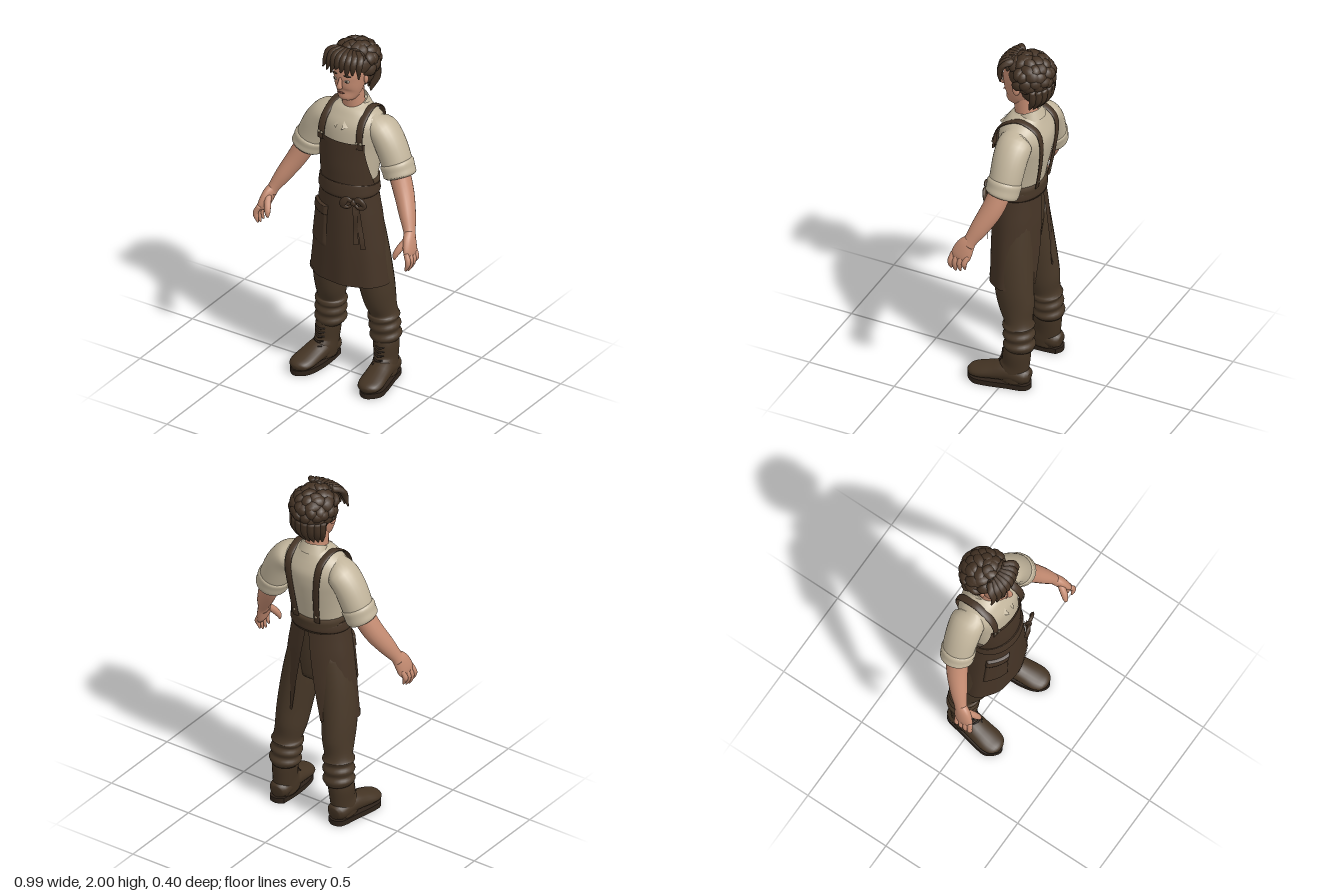
import * as THREE from 'three';

const mat = (name, color, side = THREE.FrontSide) => {
  const m = new THREE.MeshStandardMaterial({ color, side });
  m.name = name;
  return m;
};

// rows of [y, centre z, half width, half depth]
const TORSO = [[1.12, 0.005, 0.15, 0.115], [1.2, 0.0, 0.152, 0.12], [1.3, -0.01, 0.163, 0.13], [1.4, -0.024, 0.178, 0.137],
  [1.47, -0.032, 0.192, 0.14], [1.53, -0.037, 0.193, 0.134], [1.58, -0.042, 0.165, 0.11], [1.62, -0.046, 0.105, 0.085], [1.645, -0.046, 0.06, 0.06]];
const SKIRT = [[0.61, 0, 0.233, 0.143], [0.8, 0, 0.213, 0.145], [1.0, 0.004, 0.187, 0.14], [1.1, 0.008, 0.17, 0.135], [1.19, 0.01, 0.158, 0.13]];

const rowAt = (rows, y) => {
  let i = 0;
  while (i < rows.length - 2 && y > rows[i + 1][0]) i++;
  const t = (y - rows[i][0]) / (rows[i + 1][0] - rows[i][0]);
  return rows[i].map((a, k) => a + (rows[i + 1][k] - a) * t);
};
// point on a body profile at an angle from the front
const around = (rows, a, y, off = 0) => {
  const [, zc, rx, rz] = rowAt(rows, y);
  return [(rx + off) * Math.sin(a), y, zc + (rz + off) * Math.cos(a)];
};

const fromGrid = (pos, idx) => {
  const g = new THREE.BufferGeometry();
  g.setAttribute('position', new THREE.Float32BufferAttribute(pos, 3));
  g.setIndex(idx);
  g.computeVertexNormals();
  return g;
};

// closed smooth limb through points [x, y, z, radius along ref, other radius]
function limb(pts, seg = 20, ref = new THREE.Vector3(1, 0, 0), sub = 4) {
  const V = (a, b, c) => new THREE.Vector3(a, b, c);
  const path = new THREE.CatmullRomCurve3(pts.map(p => V(p[0], p[1], p[2])), false, 'catmullrom');
  const size = new THREE.CatmullRomCurve3(pts.map(p => V(p[3], p[4] ?? p[3], 0)), false, 'catmullrom');
  const n = (pts.length - 1) * sub, pos = [], idx = [];
  for (let i = 0; i <= n; i++) {
    const c = path.getPoint(i / n), r = size.getPoint(i / n), t = path.getTangent(i / n);
    const u = ref.clone().addScaledVector(t, -ref.dot(t)).normalize();
    const v = t.clone().cross(u);
    for (let j = 0; j < seg; j++) {
      const a = j / seg * Math.PI * 2;
      pos.push(...c.clone().addScaledVector(u, r.x * Math.cos(a)).addScaledVector(v, r.y * Math.sin(a)).toArray());
    }
  }
  pos.push(...path.getPoint(0).toArray(), ...path.getPoint(1).toArray());
  const s = (n + 1) * seg;
  for (let j = 0; j < seg; j++) {
    const k = (j + 1) % seg;
    for (let i = 0; i < n; i++) {
      const a = i * seg + j, b = i * seg + k;
      idx.push(a, b, b + seg, a, b + seg, a + seg);
    }
    idx.push(s, k, j, s + 1, n * seg + j, n * seg + k);
  }
  return fromGrid(pos, idx);
}

// open cloth surface from a rule f(u, v) -> [x, y, z]
function sheet(f, nu = 24, nv = 12) {
  const pos = [], idx = [];
  for (let j = 0; j <= nv; j++) for (let i = 0; i <= nu; i++) pos.push(...f(i / nu, j / nv));
  for (let j = 0; j < nv; j++) for (let i = 0; i < nu; i++) {
    const a = j * (nu + 1) + i, b = a + nu + 1;
    idx.push(a, b, b + 1, a, b + 1, a + 1);
  }
  return fromGrid(pos, idx);
}

export function createModel() {
  const root = new THREE.Group();
  root.name = 'apronedMan';
  const skin = mat('skin', 0xc58c72), shirt = mat('shirtCloth', 0xc2b59c, THREE.DoubleSide);
  const apron = mat('apronCloth', 0x453426, THREE.DoubleSide), trouser = mat('trouserCloth', 0x483828);
  const leather = mat('bootLeather', 0x443424), dark = mat('soleAndTrim', 0x2e231a);
  const hair = mat('hair', 0x443325), metal = mat('metal', 0xa3957c), white = mat('eyeWhite', 0xd8cbb8), lip = mat('lip', 0x9c5f50);
  const add = (name, geo, m, parent = root) => {
    const o = new THREE.Mesh(geo, m);
    o.name = name;
    parent.add(o);
    return o;
  };
  const blob = (name, m, x, y, z, sx, sy, sz, ry = 0) => {
    const o = add(name, new THREE.SphereGeometry(1, 20, 14), m);
    o.position.set(x, y, z);
    o.scale.set(sx, sy, sz);
    o.rotation.y = ry;
    return o;
  };
  const Z = new THREE.Vector3(0, 0, 1);

  // shirt body, collar and open neck
  add('shirtBody', limb(TORSO.map(([y, z, rx, rz]) => [0, y, z, rx, rz]), 36), shirt);
  add('collar', sheet((u, v) => {
    const a = 0.2 + u * (Math.PI * 2 - 0.4), c = Math.cos(a), drop = ((1 + c) / 2) ** 2, r = 0.066 + 0.025 * v;
    return [r * Math.sin(a), 1.672 - 0.09 * drop - v * 0.05, -0.045 + (r + (0.05 + 0.025 * v) * drop) * c];
  }, 36, 4), shirt);
  add('neckOpening', sheet((u, v) => [(0.5 - u) * 2 * (0.004 + 0.036 * (1 - v)), 1.615 - 0.08 * v, 0.05 + 0.062 * v], 4, 4), skin);

  // neck and head
  add('neck', limb([[0, 1.57, -0.045, 0.066, 0.07], [0, 1.65, -0.03, 0.06, 0.063], [0, 1.76, -0.02, 0.058, 0.065]]), skin);
  add('head', limb([[0, 1.683, 0.055, 0.018, 0.02], [0, 1.695, 0.048, 0.042, 0.042], [0, 1.735, 0.018, 0.068, 0.076], [0, 1.8, 0, 0.083, 0.099],
    [0, 1.86, -0.008, 0.09, 0.104], [0, 1.92, -0.03, 0.085, 0.098], [0, 1.96, -0.04, 0.05, 0.06]], 28), skin);
  add('nose', limb([[0, 1.84, 0.09, 0.008, 0.008], [0, 1.805, 0.103, 0.011, 0.012], [0, 1.783, 0.106, 0.017, 0.014], [0, 1.773, 0.097, 0.01, 0.008]], 12), skin);
  blob('mouth', lip, 0, 1.745, 0.093, 0.024, 0.005, 0.004);
  for (const s of [1, -1]) {
    blob('ear', skin, s * 0.09, 1.81, -0.015, 0.012, 0.032, 0.02, s * 0.3);
    blob('eyeWhite', white, s * 0.038, 1.82, 0.091, 0.015, 0.008, 0.004, s * 0.38);
    blob('iris', dark, s * 0.037, 1.82, 0.094, 0.007, 0.008, 0.003, s * 0.38);
    const brow = blob('eyebrow', hair, s * 0.04, 1.852, 0.091, 0.022, 0.005, 0.005, s * 0.4);
    brow.rotation.z = -s * 0.12;
  }

  // curly hair: two base volumes covered with locks
  blob('hairCrown', hair, 0, 1.885, -0.05, 0.114, 0.094, 0.122);
  blob('hairNape', hair, 0, 1.805, -0.085, 0.09, 0.09, 0.085);
  let seed = 7;
  const rnd = () => (seed = (seed * 16807) % 2147483647) / 2147483647;
  const locks = new THREE.Group();
  locks.name = 'hairLocks';
  root.add(locks);
  for (let i = 0; i < 90; i++) {
    const y = 1 - 2 * (i + 0.5) / 90, q = Math.sqrt(1 - y * y), a = i * 2.39996;
    const d = new THREE.Vector3(q * Math.cos(a), y, q * Math.sin(a));
    if ((d.z > 0.2 && d.y < 0.4) || d.y < -0.65) continue;
    const axis = new THREE.Vector3(rnd() - 0.5, rnd() - 0.5, rnd() - 0.5).cross(d).normalize();
    const pts = [[0.95, 0.014, 0.02], [1.06, 0.018, 0.03], [1.09, 0.016, 0.026], [1.02, 0.004, 0.006]].map(([k, r, w], n) => {
      const p = d.clone().applyAxisAngle(axis, (n - 1) * 0.26);
      return [p.x * 0.112 * k, 1.885 + p.y * 0.09 * k, -0.05 + p.z * 0.122 * k, r, w];
    });
    add('lock', limb(pts, 8, d, 3), hair, locks);
  }
  for (let i = 0; i < 8; i++) {
    const x = -0.095 + i * 0.027, z = 0.1 - x * x * 3, low = 1.885 - 0.012 * (i % 3) - Math.abs(x) * 0.3;
    add('fringeLock', limb([[x * 0.6, 1.965, 0.02, 0.02], [x, 1.955, z - 0.02, 0.024, 0.017], [x * 1.1, 1.915, z + 0.002, 0.02, 0.015],
      [x * 1.2 - 0.012, low, z, 0.004]], 8), hair, locks);
    const b = (i - 3.5) * 0.32, sx = Math.sin(b), cz = Math.cos(b);
    add('napeLock', limb([[sx * 0.1, 1.84, -0.07 - cz * 0.1, 0.028, 0.02], [sx * 0.1, 1.78, -0.075 - cz * 0.09, 0.026, 0.02],
      [sx * 0.085, 1.73, -0.065 - cz * 0.075, 0.018, 0.014], [sx * 0.08, 1.695, -0.055 - cz * 0.065, 0.004]], 8), hair, locks);
  }

  // apron: bib, waistband and skirt split at the back
  add('apronBib', sheet((u, v) => around(TORSO, (u * 2 - 1) * (0.76 + 0.8 * (1 - v) ** 1.5), 1.17 + 0.292 * v, 0.014)), apron);
  add('bibHem', sheet((u, v) => around(TORSO, (u * 2 - 1) * 0.77, 1.438 + 0.026 * v, 0.018), 24, 2), apron);
  add('waistband', limb([[0, 1.135, 0.008, 0.168, 0.136], [0, 1.15, 0.008, 0.174, 0.142], [0, 1.185, 0.008, 0.17, 0.139], [0, 1.2, 0.006, 0.168, 0.136]], 40), apron);
  add('backWaist', limb([[0, 1.14, -0.004, 0.163, 0.128], [0, 1.225, -0.008, 0.163, 0.127]], 36), trouser);
  const skirtAt = (a, y, off = 0) => around(SKIRT, a, y, off + 0.004 * Math.sin(a * 9) * (1.19 - y));
  const skirtSheet = (y0, y1, off, nv) => sheet((u, v) => {
    const y = y0 + (y1 - y0) * v, gap = 0.03 + 0.38 * (1.18 - y) / 0.57;
    return skirtAt((u * 2 - 1) * (Math.PI - gap), y, off);
  }, 72, nv);
  add('apronSkirt', skirtSheet(0.61, 1.18, 0, 16), apron);
  add('skirtHem', skirtSheet(0.608, 0.628, 0.003, 1), apron);
  const pad = (a0, a1, y0, y1, h) => sheet((u, v) => {
    const edge = Math.min(1, 12 * Math.min(u, 1 - u, v, 1 - v));
    return skirtAt(a0 + (a1 - a0) * u, y0 + (y1 - y0) * v, -0.002 + h * edge);
  }, 24, 24);
  add('pocket', pad(-1.12, -0.3, 0.8, 1.05, 0.011), apron);
  add('pocketFlap', pad(-1.14, -0.29, 1.0, 1.06, 0.017), apron);

  // tied bow with two tails
  for (const s of [1, -1]) {
    add('bowLoop', limb([[0.115, 1.135, 0.145, 0.008], [0.115 + s * 0.03, 1.155, 0.155 - s * 0.012, 0.01, 0.02],
      [0.115 + s * 0.055, 1.12, 0.15 - s * 0.022, 0.01, 0.018], [0.115 + s * 0.028, 1.105, 0.148 - s * 0.01, 0.007, 0.01], [0.115, 1.13, 0.145, 0.006]], 10, Z), apron);
    add('bowTail', sheet((u, v) => skirtAt(0.68 + s * 0.09 * v ** 0.6 + (u - 0.5) * 0.14, 1.13 - v * (0.27 + s * 0.015), 0.016 + 0.006 * Math.sin(v * 8 + s)), 3, 14), apron);
  }
  blob('bowKnot', apron, 0.115, 1.135, 0.147, 0.018, 0.02, 0.016);

  add('hips', limb([[0, 0.82, -0.005, 0.11, 0.1], [0, 0.95, 0, 0.15, 0.115], [0, 1.17, 0, 0.148, 0.115]], 28), trouser);

  for (const s of [1, -1]) {
    const side = new THREE.Group();
    side.name = s > 0 ? 'leftSide' : 'rightSide';
    root.add(side);
    const part = (name, pts, m, seg = 20, ref) => add(name, limb(pts.map(p => [p[0] * s, ...p.slice(1)]), seg, ref), m, side);

    // shoulder strap with buckles
    part('strap', [[0.122, 1.435, 0.1, 0.021, 0.006], [0.118, 1.52, 0.092, 0.021, 0.006], [0.112, 1.585, 0.052, 0.021, 0.006], [0.107, 1.628, -0.04, 0.021, 0.006],
      [0.1, 1.592, -0.132, 0.021, 0.006], [0.095, 1.52, -0.164, 0.021, 0.006], [0.08, 1.38, -0.155, 0.02, 0.006], [0.068, 1.21, -0.127, 0.02, 0.006]], apron, 12);
    blob('frontButton', metal, s * 0.11, 1.475, 0.111, 0.008, 0.008, 0.005);
    blob('frontButton', metal, s * 0.132, 1.475, 0.104, 0.008, 0.008, 0.005);
    blob('backButton', metal, s * 0.07, 1.25, -0.138, 0.008, 0.008, 0.005);

    // sleeve with rolled cuff
    part('sleeve', [[0.11, 1.53, -0.05, 0.05, 0.075], [0.165, 1.52, -0.047, 0.072, 0.095], [0.215, 1.46, -0.043, 0.08, 0.095],
      [0.255, 1.375, -0.04, 0.083, 0.09], [0.283, 1.3, -0.036, 0.08, 0.086]], shirt, 24);
    part('cuff', [[0.264, 1.352, -0.038, 0.08, 0.086], [0.27, 1.338, -0.037, 0.09, 0.095], [0.281, 1.31, -0.035, 0.088, 0.093], [0.292, 1.282, -0.032, 0.088, 0.092],
      [0.297, 1.27, -0.03, 0.078, 0.082]], shirt, 24);

    // forearm, palm and fingers
    part('forearm', [[0.283, 1.31, -0.03, 0.058, 0.06], [0.338, 1.2, 0, 0.053, 0.06], [0.392, 1.1, 0.047, 0.043, 0.05], [0.428, 1.03, 0.083, 0.031, 0.037],
      [0.44, 1.0, 0.098, 0.03, 0.04]], skin);
    part('palm', [[0.43, 1.03, 0.083, 0.028, 0.034], [0.445, 0.99, 0.108, 0.03, 0.05], [0.46, 0.94, 0.126, 0.026, 0.056], [0.468, 0.91, 0.134, 0.016, 0.046]], skin);
    part('thumb', [[0.437, 1.0, 0.125, 0.018], [0.417, 0.958, 0.163, 0.019], [0.404, 0.925, 0.183, 0.015], [0.4, 0.9, 0.187, 0.006]], skin, 10);
    for (let i = 0; i < 4; i++) {
      const z = 0.17 - i * 0.027, drop = [0.01, 0, 0.006, 0.022][i];
      part('finger', [[0.463, 0.945, z, 0.014], [0.481, 0.905, z + 0.008, 0.015], [0.478, 0.868 + drop, z + 0.01, 0.013], [0.466, 0.837 + drop, z + 0.01, 0.005]], skin, 10);
    }

    // trouser leg, bunched above the boot
    const folds = [0.4, 0.37, 0.345, 0.315, 0.285, 0.255, 0.225].map((y, i) => {
      const r = i % 2 ? 0.088 : 0.077;
      return [0.164 + i * 0.002, y, -0.066 - i * 0.002, r - (i === 6 ? 0.008 : 0), r];
    });
    part('trouserLeg', [[0.085, 1.0, 0, 0.085, 0.11], [0.115, 0.8, -0.01, 0.097, 0.112], [0.143, 0.6, -0.03, 0.091, 0.108], [0.153, 0.48, -0.05, 0.083, 0.098], ...folds], trouser, 24);

    // boot
    part('bootShaft', [[0.177, 0.25, -0.07, 0.064, 0.074], [0.183, 0.2, -0.066, 0.067, 0.077], [0.186, 0.13, -0.06, 0.062, 0.077], [0.19, 0.08, -0.045, 0.064, 0.09],
      [0.19, 0.03, -0.04, 0.06, 0.09]], leather, 24);
    part('bootFoot', [[0.186, 0.065, -0.143, 0.035, 0.035], [0.188, 0.07, -0.11, 0.058, 0.05], [0.195, 0.08, -0.02, 0.064, 0.058], [0.206, 0.068, 0.06, 0.068, 0.046],
      [0.215, 0.055, 0.13, 0.07, 0.036], [0.22, 0.048, 0.175, 0.055, 0.028], [0.222, 0.042, 0.197, 0.022, 0.014]], leather, 20);
    const outline = [[0.145, -0.13], [0.187, -0.152], [0.236, -0.13], [0.258, -0.03], [0.282, 0.08], [0.283, 0.15], [0.225, 0.203],
      [0.165, 0.165], [0.14, 0.08], [0.136, -0.03]].map(p => new THREE.Vector2(p[0] * s, p[1]));
    const sole = new THREE.ExtrudeGeometry(new THREE.Shape(new THREE.SplineCurve([...outline, outline[0]]).getPoints(50)), { depth: 0.03, bevelEnabled: false });
    add('sole', sole.rotateX(Math.PI / 2).translate(0, 0.03, 0), dark, side);
    for (let i = 0; i < 5; i++) {
      const y = 0.205 - i * 0.023, z = [0.01, 0.013, 0.018, 0.028, 0.044][i];
      part('lace', [[0.158, y + 0.006, z - 0.008, 0.004], [0.187, y, z + 0.002, 0.006], [0.216, y + 0.006, z - 0.008, 0.004]], dark, 8, Z);
    }
  }
  return root;
}
